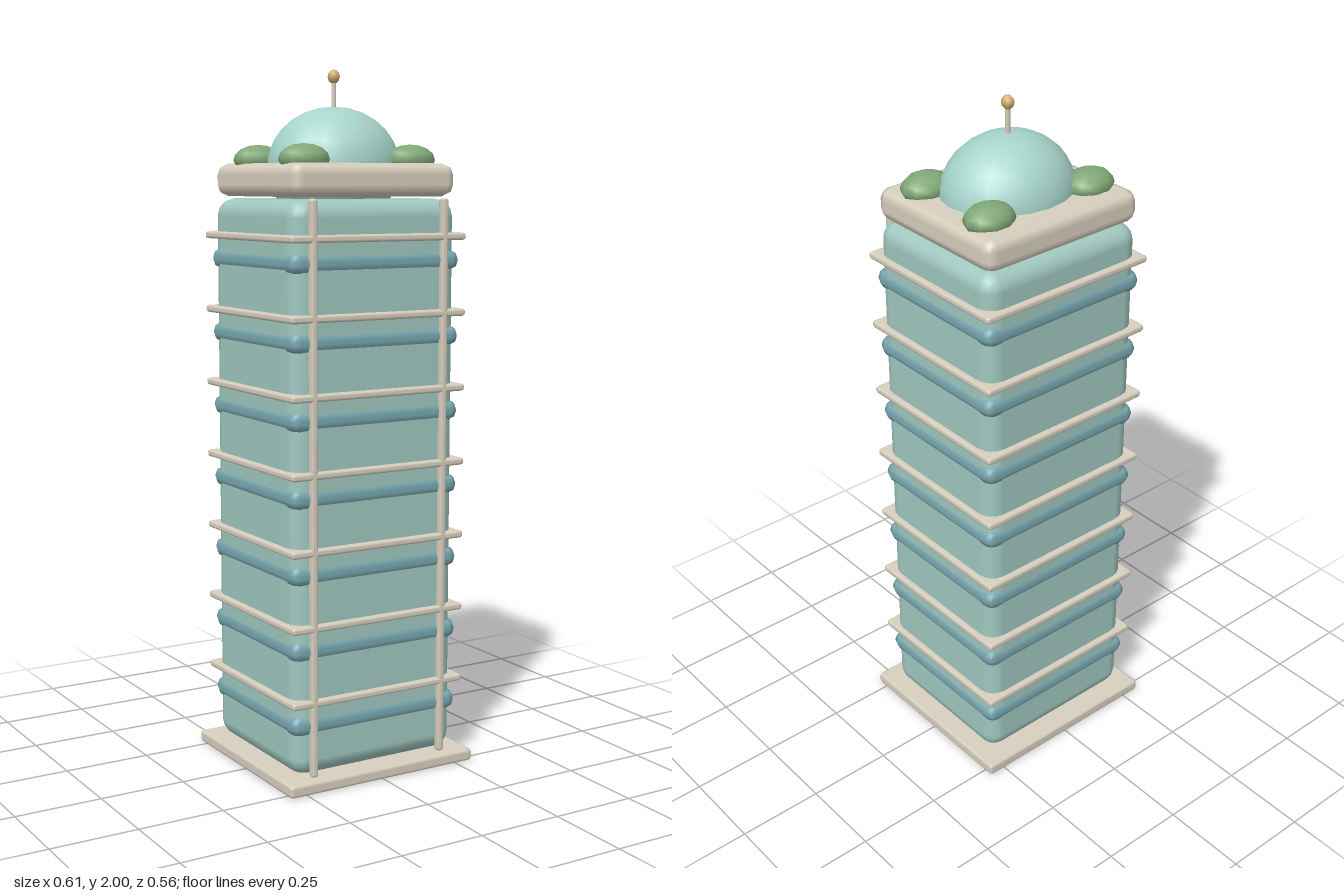
import * as THREE from 'three';
import { RoundedBoxGeometry } from 'three/addons/geometries/RoundedBoxGeometry.js';

const material = (color) => new THREE.MeshStandardMaterial({ color });

export function createModel() {
  const model = new THREE.Group();
  model.name = 'tower';

  const glass = material(0xa0c8c0);
  const band = material(0x78a8b0);
  const stone = material(0xd8cfbe);
  const domeGlass = material(0xa6d4ca);
  const leaf = material(0x80a876);
  const gold = material(0xd9ae72);

  function add(name, geometry, mat, x, y, z, parent = model) {
    const mesh = new THREE.Mesh(geometry, mat);
    mesh.name = name;
    mesh.position.set(x, y, z);
    parent.add(mesh);
    return mesh;
  }
  const block = (w, h, d, r, segments = 1) => new RoundedBoxGeometry(w, h, d, segments, r);

  // Base plinth and glazed tower body
  add('base', block(0.61, 0.036, 0.565, 0.01), stone, 0, 0.018, 0);
  add('towerBody', block(0.535, 1.605, 0.48, 0.05, 2), glass, 0, 0.8375, 0);

  // Seven storeys: a dark window band below a thin projecting ledge
  for (let i = 0; i < 7; i++) {
    const floor = new THREE.Group();
    floor.name = `floor${i + 1}`;
    floor.position.y = 0.25 + i * 0.2142;
    model.add(floor);
    add('windowBand', block(0.546, 0.06, 0.492, 0.027), band, 0, -0.067, 0, floor);
    add('ledge', block(0.566, 0.021, 0.514, 0.008), stone, 0, 0, 0, floor);
  }

  // Slim vertical posts on the front face
  for (const side of [-1, 1]) {
    add('frontPost', block(0.021, 1.605, 0.026, 0.008), stone, side * 0.212, 0.84, 0.244);
  }

  // Roof slab
  add('roofSlab', block(0.525, 0.092, 0.476, 0.032), stone, 0, 1.692, 0);

  // Oval dome
  add('dome', new THREE.SphereGeometry(1, 20, 14), domeGlass, 0, 1.727, 0)
    .scale.set(0.197, 0.17, 0.171);

  // Rounded shrubs at the four roof corners
  for (const x of [-1, 1]) {
    for (const z of [-1, 1]) {
      add('shrub', new THREE.SphereGeometry(1, 10, 8), leaf, x * 0.173, 1.748, z * 0.131)
        .scale.set(0.075, 0.043, 0.061);
    }
  }

  // Mast with a small ball finial
  add('mast', new THREE.CylinderGeometry(0.007, 0.007, 0.1, 8), stone, 0, 1.92, 0);
  add('finial', new THREE.SphereGeometry(1, 8, 6), gold, 0, 1.98, 0)
    .scale.set(0.017, 0.02, 0.019);

  return model;
}
